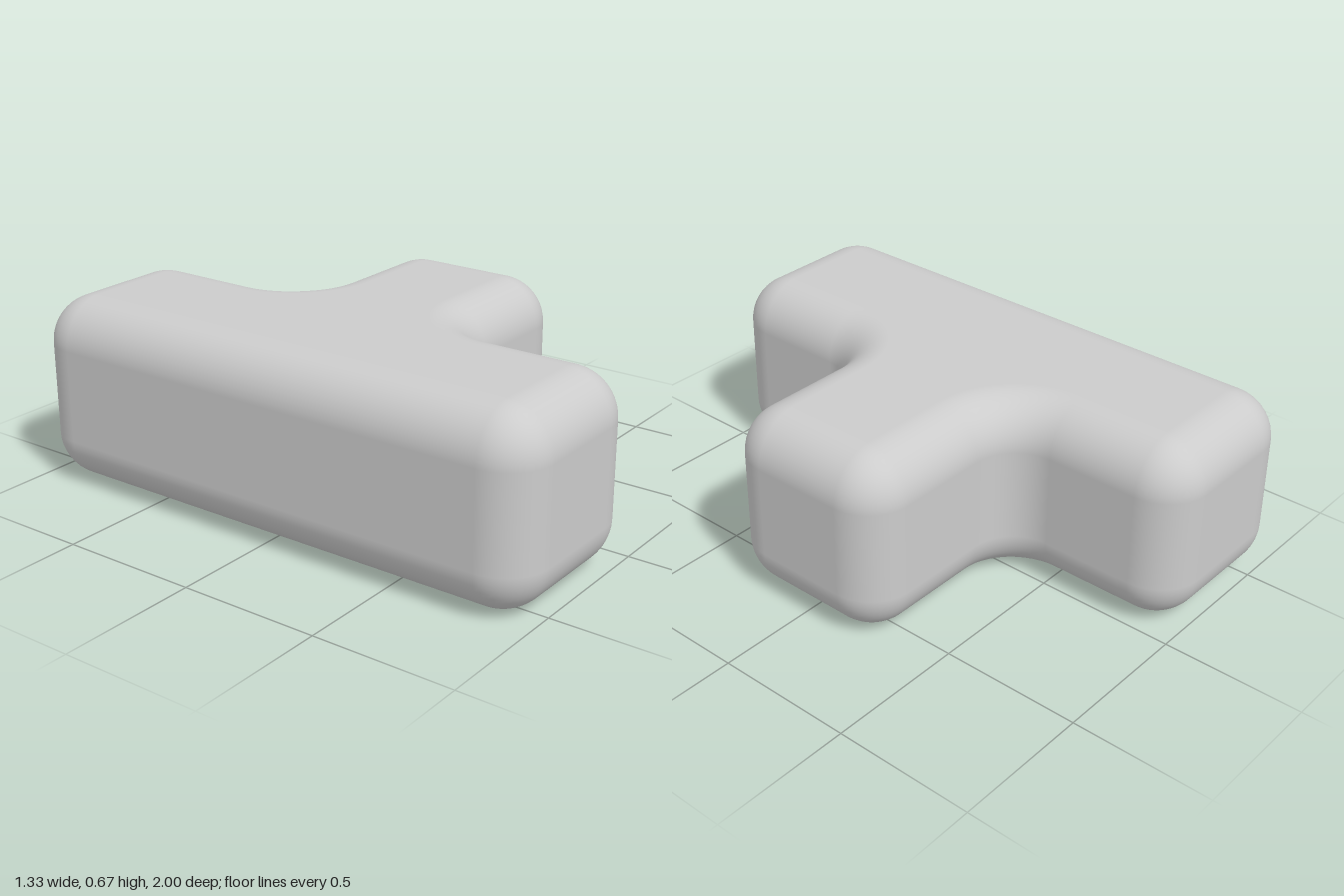
import * as THREE from 'three';
import { mergeGeometries } from 'three/addons/utils/BufferGeometryUtils.js';

const R = 1 / 6;      // radius of every rounded edge and fillet
const H = 2 / 3;      // height
const STEPS = 12;     // segments per quarter circle

// Corners of the T outline, counter-clockwise: centre, start angle, sweep (+1 convex, -1 fillet)
const CORNERS = [
  [-3 * R, -5 * R, 180, 1], [-R, -5 * R, 270, 1],
  [R, -3 * R, 180, -1],
  [3 * R, -R, 270, 1], [3 * R, R, 0, 1],
  [R, 3 * R, 270, -1],
  [-R, 5 * R, 0, 1], [-3 * R, 5 * R, 90, 1],
];

// Outline points with their outward normals
function outline() {
  const pts = [];
  for (const [cx, cy, start, turn] of CORNERS) {
    for (let i = 0; i <= STEPS; i++) {
      const a = THREE.MathUtils.degToRad(start + (turn * 90 * i) / STEPS);
      const c = Math.cos(a), s = Math.sin(a);
      pts.push({ x: cx + R * c, y: cy + R * s, nx: turn * c, ny: turn * s });
    }
  }
  return pts;
}

// Walls with rounded top and bottom edges, lofted ring by ring
function walls(pts) {
  const rings = [];
  for (const side of [-1, 1]) {
    for (let k = 0; k <= STEPS; k++) {
      const t = (Math.PI / 2) * (side < 0 ? k / STEPS - 1 : k / STEPS);
      rings.push({ t, h: (side < 0 ? R : H - R) + R * Math.sin(t) });
    }
  }
  const pos = [], nor = [], uv = [], idx = [];
  const n = pts.length;
  rings.forEach(({ t, h }, j) => {
    const inset = R * (1 - Math.cos(t));
    pts.forEach((p, i) => {
      pos.push(p.x - p.nx * inset, h, -(p.y - p.ny * inset));
      nor.push(p.nx * Math.cos(t), Math.sin(t), -p.ny * Math.cos(t));
      uv.push(i / n, h / H);
      if (j + 1 < rings.length) {
        const a = j * n + i, b = j * n + ((i + 1) % n);
        idx.push(a, b, b + n, a, b + n, a + n);
      }
    });
  });
  const g = new THREE.BufferGeometry();
  g.setAttribute('position', new THREE.Float32BufferAttribute(pos, 3));
  g.setAttribute('normal', new THREE.Float32BufferAttribute(nor, 3));
  g.setAttribute('uv', new THREE.Float32BufferAttribute(uv, 2));
  g.setIndex(idx);
  return g;
}

// Flat face inside the rounded edge; convex corners shrink to single points
function cap(pts) {
  const inner = [];
  for (const p of pts) {
    const q = new THREE.Vector2(p.x - p.nx * R, p.y - p.ny * R);
    if (!inner.length || inner[inner.length - 1].distanceTo(q) > 1e-5) inner.push(q);
  }
  return new THREE.ShapeGeometry(new THREE.Shape(inner));
}

export function createModel() {
  const pts = outline();
  const top = cap(pts).rotateX(-Math.PI / 2).translate(0, H, 0);
  const bottom = cap(pts).rotateX(Math.PI / 2);
  const block = new THREE.Mesh(
    mergeGeometries([walls(pts), top, bottom]),
    new THREE.MeshStandardMaterial({ color: 0xcccccc }),
  );
  block.name = 'roundedTBlock';
  const model = new THREE.Group();
  model.name = 'tShapedBlock';
  model.add(block);
  return model;
}
